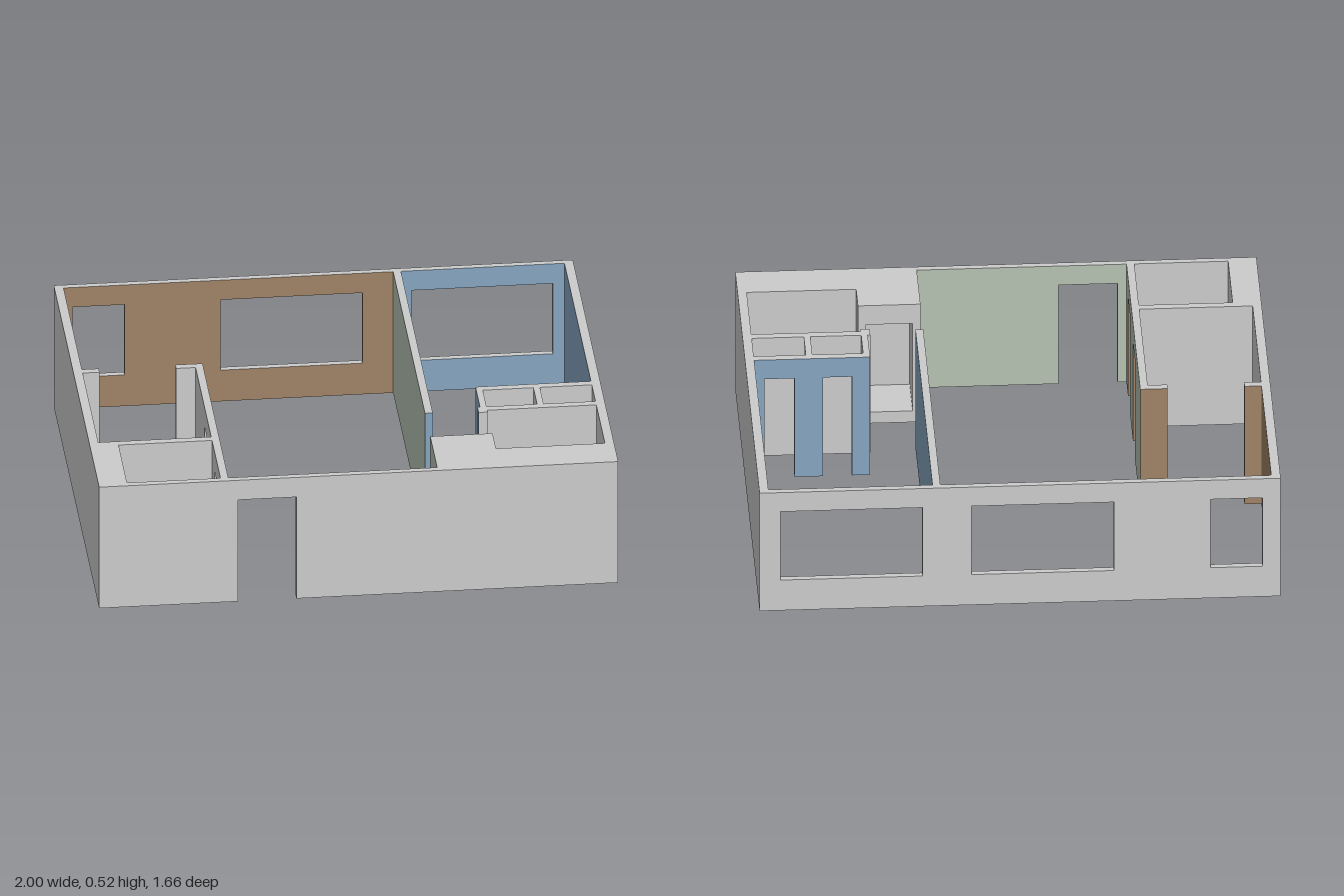
import * as THREE from 'three';

const HEIGHT = 0.525, DOOR = 0.44, SILL = 0.135;
const mat = (color) => new THREE.MeshStandardMaterial({ color });

// Upright wall outline: doors are notches in the base, windows are holes
function wallShape(a, b, openings) {
  const shape = new THREE.Shape();
  shape.moveTo(a, 0);
  for (const [u0, u1, y0, y1] of openings) {
    if (y0 === 0) {
      shape.lineTo(u0, 0);
      shape.lineTo(u0, y1);
      shape.lineTo(u1, y1);
      shape.lineTo(u1, 0);
    } else {
      const hole = new THREE.Path();
      hole.moveTo(u0, y0);
      hole.lineTo(u0, y1);
      hole.lineTo(u1, y1);
      hole.lineTo(u1, y0);
      hole.closePath();
      shape.holes.push(hole);
    }
  }
  shape.lineTo(b, 0);
  shape.lineTo(b, HEIGHT);
  shape.lineTo(a, HEIGHT);
  shape.closePath();
  return shape;
}

// Give each triangle the material of the side it faces: [+x, -x, +z, -z, rest]
function groupBySide(geo) {
  const n = geo.attributes.normal;
  geo.clearGroups();
  for (let i = 0; i < n.count; i += 3) {
    const x = n.getX(i), z = n.getZ(i);
    const side = x > 0.9 ? 0 : x < -0.9 ? 1 : z > 0.9 ? 2 : z < -0.9 ? 3 : 4;
    geo.addGroup(i, 3, side);
  }
}

export function createModel() {
  const model = new THREE.Group();
  model.name = 'apartment';
  const grey = mat(0xcccccc), brown = mat(0x9f8366), blue = mat(0x85a4bf), green = mat(0xb5c1b2);

  // Wall over a plan rectangle, running along its longer side
  function wall(name, x0, x1, z0, z1, paint = {}, openings = []) {
    const alongX = x1 - x0 >= z1 - z0;
    const shape = alongX ? wallShape(x0, x1, openings) : wallShape(z0, z1, openings);
    const geo = new THREE.ExtrudeGeometry(shape, { depth: alongX ? z1 - z0 : x1 - x0, bevelEnabled: false });
    if (alongX) geo.translate(0, 0, z0);
    else geo.rotateY(-Math.PI / 2).translate(x1, 0, 0);
    geo.computeVertexNormals();
    groupBySide(geo);
    const mesh = new THREE.Mesh(geo, ['px', 'nx', 'pz', 'nz', 'rest'].map((k) => paint[k] || grey));
    mesh.name = name;
    model.add(mesh);
  }
  const win = (a, b) => [a, b, SILL, DOOR];
  const door = (a, b) => [a, b, 0, DOOR];

  // Outer walls, split where the room colour changes
  wall('backWallLiving', -1, 0.32, -0.83, -0.805, { pz: brown }, [win(-0.93, -0.73), win(-0.36, 0.187)]);
  wall('backWallBedroom', 0.32, 1, -0.83, -0.805, { pz: blue }, [win(0.375, 0.92)]);
  wall('rightWallLiving', -1, -0.965, -0.805, -0.12, { px: brown });
  wall('rightWallRear', -1, -0.965, -0.12, 0.805);
  wall('leftWallBedroom', 0.965, 1, -0.805, 0.18, { nx: blue });
  wall('leftWallBath', 0.965, 1, 0.18, 0.805);
  wall('frontWallRight', -1, -0.515, 0.805, 0.83);
  wall('frontWallEntry', -0.515, 0.32, 0.805, 0.83, { nz: green }, [door(-0.465, -0.24)]);
  wall('frontWallLeft', 0.32, 1, 0.805, 0.83);

  // Long partition between living room and bedroom
  wall('bedroomPartition', 0.305, 0.335, -0.805, 0.36, { px: blue, nx: green, pz: blue });

  // Hall partition with two doorways, and the stubs beside the wide passage
  wall('hallPartition', -0.53, -0.5, -0.135, 0.805, { px: green, nz: brown },
    [door(0.225, 0.36), door(0.58, 0.7)]);
  wall('passageStubInner', -0.605, -0.53, -0.135, -0.105, { nz: brown });
  wall('passageStubOuter', -0.965, -0.9, -0.135, -0.105, { nz: brown });

  // Small room: cross wall and thick service shaft
  wall('crossWall', -0.965, -0.53, 0.465, 0.495);
  wall('serviceShaft', -0.965, -0.89, 0.495, 0.805);

  // Closets with two doorways
  wall('closetFront', 0.52, 0.965, 0.165, 0.195, { nz: blue, nx: blue }, [door(0.59, 0.7), door(0.81, 0.925)]);
  wall('closetSide', 0.52, 0.545, 0.195, 0.33, { nx: blue });
  wall('closetDivider', 0.74, 0.765, 0.195, 0.33);
  wall('closetBack', 0.545, 0.965, 0.33, 0.36);
  wall('closetJamb', 0.51, 0.545, 0.33, 0.375, { nx: blue });

  // Thick block by the entry with a niche, and the thick wall next to it
  wall('nicheBlock', 0.305, 0.545, 0.55, 0.75, { nx: green }, [[0.335, 0.515, 0.05, DOOR]]);
  wall('nicheBack', 0.305, 0.545, 0.75, 0.805, { nx: green });
  wall('thickWall', 0.545, 0.965, 0.675, 0.805);

  return model;
}
